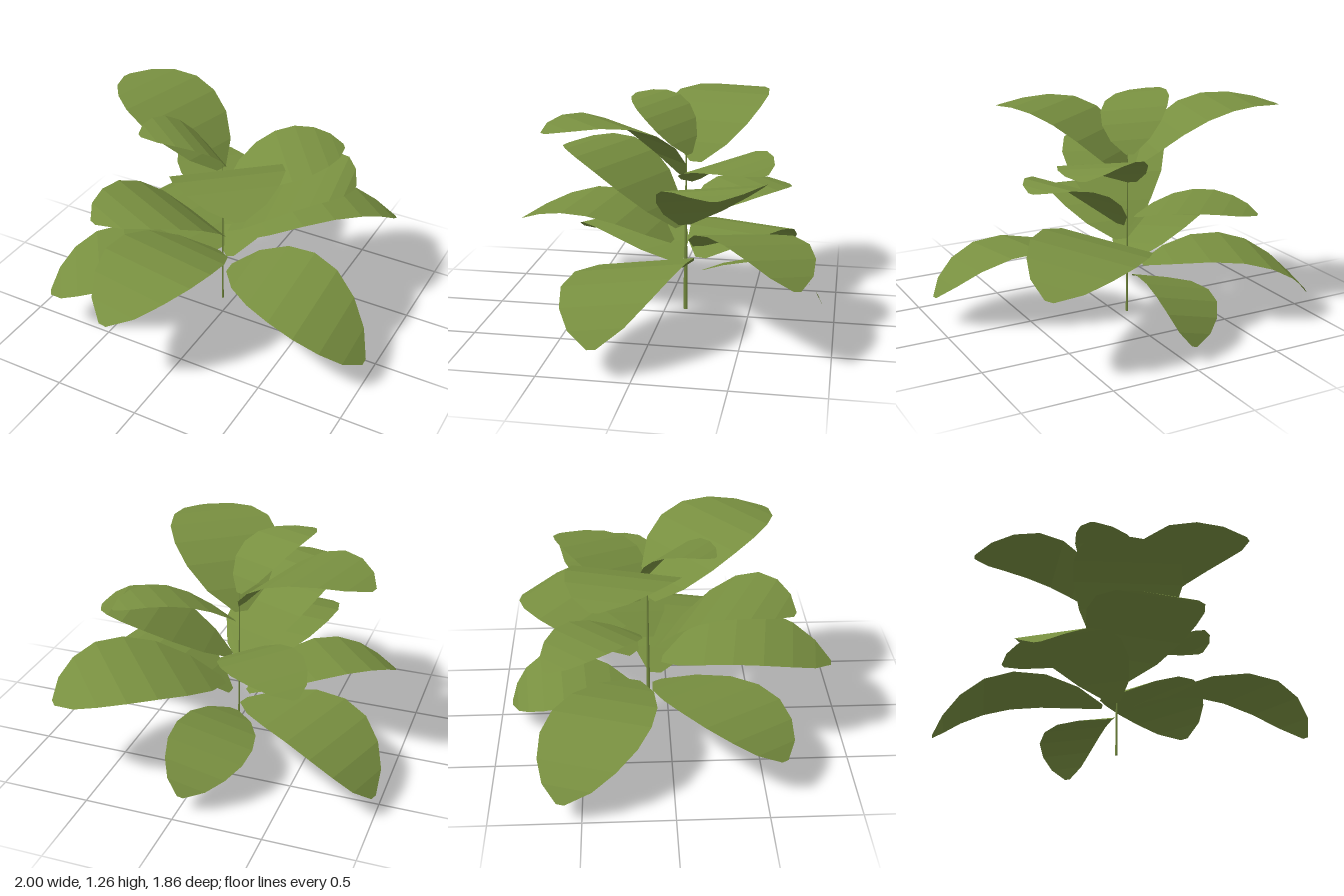
import * as THREE from 'three';

const leafGreen = new THREE.MeshStandardMaterial({ color: 0x788f40, side: THREE.DoubleSide });
leafGreen.name = 'leafGreen';

// Each leaf: base, one edge at its widest, the other edge, tip
const lowerLeaves = [
  [[-0.07, 0.42, -0.04], [-0.47, 0.625, 0.38], [0.15, 0.62, 0.47], [-0.23, 0.47, 0.92]],
  [[-0.1, 0.29, -0.07], [-0.7, 0.45, 0.08], [-0.37, 0.4, 0.53], [-0.83, 0.24, 0.59]],
  [[0.0, 0.28, -0.08], [0.55, 0.48, -0.19], [0.55, 0.4, 0.42], [1.0, 0.17, 0.2]],
  [[-0.12, 0.31, -0.2], [-0.74, 0.38, -0.14], [-0.56, 0.38, -0.68], [-0.99, 0.12, -0.61]],
  [[-0.07, 0.25, -0.22], [-0.31, 0.25, -0.64], [0.11, 0.37, -0.68], [-0.02, 0.1, -0.93]],
  [[0.0, 0.42, -0.2], [0.2, 0.57, -0.79], [0.6, 0.665, -0.36], [0.76, 0.46, -0.82]],
];
const upperLeaves = [
  [[-0.07, 0.51, -0.08], [-0.48, 0.9, 0.18], [0.08, 0.89, 0.43], [-0.43, 0.91, 0.66]],
  [[-0.08, 0.6, -0.18], [-0.45, 0.735, -0.28], [-0.14, 0.715, -0.59], [-0.57, 0.67, -0.68]],
  [[-0.02, 0.54, -0.12], [0.34, 0.89, -0.61], [0.43, 0.85, -0.04], [0.65, 0.88, -0.38]],
  [[-0.06, 0.8, -0.18], [0.09, 1.025, -0.55], [0.38, 0.955, -0.19], [0.47, 0.98, -0.62]],
  [[-0.07, 0.82, -0.1], [-0.1, 1.15, 0.4], [0.38, 1.16, 0.01], [0.42, 1.15, 0.59]],
  [[-0.1, 0.9, -0.17], [-0.53, 1.2, 0.04], [-0.38, 1.205, -0.53], [-0.88, 1.21, -0.4]],
  [[-0.07, 0.95, -0.14], [-0.35, 1.21, -0.08], [-0.03, 1.17, 0.13], [-0.39, 1.24, 0.23]],
];

// Relative half width along the blade: [position, width]
const outline = [[0, 0.12], [0.12, 0.58], [0.28, 0.88], [0.45, 1], [0.62, 0.97], [0.78, 0.78], [0.91, 0.49], [1, 0.08]];

// Blade made of straight rows across an arched midrib
function leafGeometry(points) {
  const [base, left, right, tip] = points.map((p) => new THREE.Vector3(...p));
  const mid = left.clone().add(right).multiplyScalar(0.5);
  const half = right.clone().sub(left).multiplyScalar(0.5);
  const control = mid.clone().multiplyScalar(2).addScaledVector(base, -0.5).addScaledVector(tip, -0.5);
  const midrib = new THREE.QuadraticBezierCurve3(base, control, tip);
  const positions = [];
  const index = [];
  outline.forEach(([t, w], row) => {
    const centre = midrib.getPoint(t);
    for (const side of [-1, 1]) {
      const p = centre.clone().addScaledVector(half, side * w);
      positions.push(p.x, p.y, p.z);
    }
    if (row === 0) return;
    const a = (row - 1) * 2;
    index.push(a, a + 1, a + 2, a + 1, a + 3, a + 2);
  });
  const indexed = new THREE.BufferGeometry();
  indexed.setAttribute('position', new THREE.Float32BufferAttribute(positions, 3));
  indexed.setIndex(index);
  const geometry = indexed.toNonIndexed();
  geometry.computeVertexNormals();
  return geometry;
}

function addLeaves(parent, name, leaves) {
  const tier = new THREE.Group();
  tier.name = `${name}Tier`;
  leaves.forEach((points, i) => {
    const leaf = new THREE.Mesh(leafGeometry(points), leafGreen);
    leaf.name = `${name}${i + 1}`;
    tier.add(leaf);
  });
  parent.add(tier);
}

export function createModel() {
  const plant = new THREE.Group();
  plant.name = 'leafyPlant';

  // Thin tapering stem, flatter from side to side
  const stemHeight = 0.96;
  const stem = new THREE.Mesh(new THREE.CylinderGeometry(0.003, 0.013, stemHeight, 4), leafGreen);
  stem.name = 'stem';
  stem.scale.x = 0.55;
  stem.position.set(-0.065, stemHeight / 2, -0.12);
  plant.add(stem);

  addLeaves(plant, 'lowerLeaf', lowerLeaves);
  addLeaves(plant, 'upperLeaf', upperLeaves);
  return plant;
}
